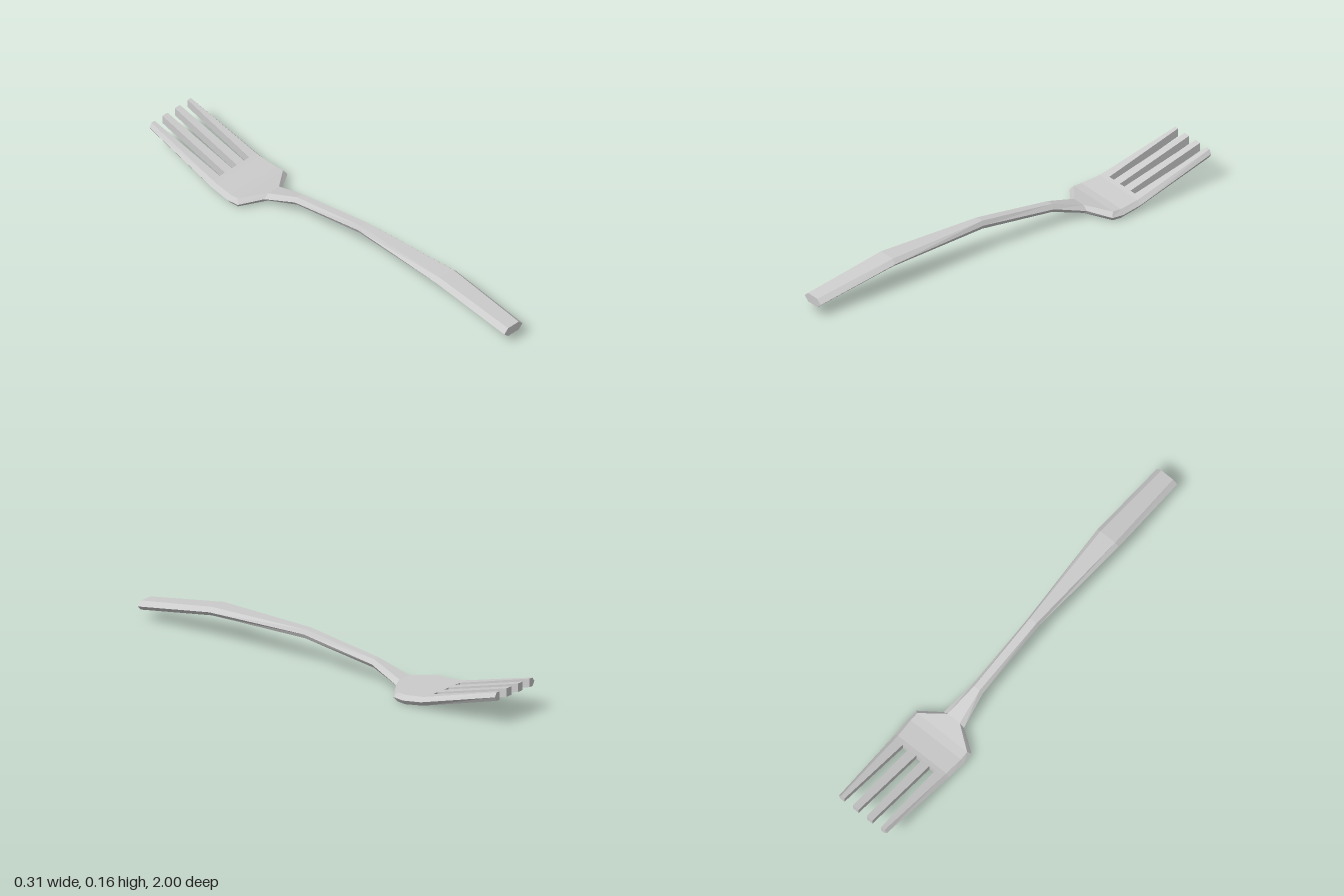
import * as THREE from 'three';

const material = new THREE.MeshStandardMaterial({ color: 0xcccccc, flatShading: true });

// Skin rings of points (counter-clockwise seen from +z) running from +z to -z
function loft(name, rings) {
  const pos = [];
  const tri = (...pts) => pts.forEach((p) => pos.push(...p));
  const n = rings[0].length;
  for (let k = 0; k < rings.length - 1; k++) {
    const a = rings[k], b = rings[k + 1];
    for (let i = 0; i < n; i++) {
      const j = (i + 1) % n;
      tri(a[i], b[i], b[j]);
      tri(a[i], b[j], a[j]);
    }
  }
  const first = rings[0], last = rings[rings.length - 1];
  for (let i = 1; i < n - 1; i++) {
    tri(first[0], first[i], first[i + 1]);
    tri(last[0], last[i + 1], last[i]);
  }
  const geometry = new THREE.BufferGeometry();
  geometry.setAttribute('position', new THREE.Float32BufferAttribute(pos, 3));
  geometry.computeVertexNormals();
  const mesh = new THREE.Mesh(geometry, material);
  mesh.name = name;
  return mesh;
}

// Six-sided section: flat top and bottom, pointed sides
function hexRing([z, bottom, top, flat, wide, zWide = z]) {
  const mid = (bottom + top) / 2;
  return [
    [-flat, bottom, z], [flat, bottom, z], [wide, mid, zWide],
    [flat, top, z], [-flat, top, z], [-wide, mid, zWide],
  ];
}

// Mirror a ring in x while keeping its winding
const mirrorRing = (ring) => ring.map(([x, y, z]) => [-x, y, z]).reverse();

export function createModel() {
  const group = new THREE.Group();
  group.name = 'fork';

  // Arched handle: z, bottom, top, half width of the flat, half width overall
  const neck = [-0.402, 0.017, 0.055, 0.033, 0.056];
  group.add(loft('handle', [
    [1, 0.044, 0.085, 0.032, 0.055],
    [0.61, 0.11, 0.148, 0.04, 0.059],
    [0.12, 0.114, 0.153, 0.018, 0.028],
    [-0.25, 0.066, 0.105, 0.015, 0.03],
    neck,
  ].map(hexRing)));

  // Wide head between neck and tines
  const root = { z: -0.63, bottom: 0.018, top: 0.057 };
  const tip = { z: -1, bottom: 0.12, top: 0.158 };
  group.add(loft('head', [
    neck,
    [-0.478, 0.002, 0.044, 0.136, 0.15, -0.466],
    [-0.52, 0, 0.042, 0.137, 0.154],
    [-0.61, 0.013, 0.052, 0.132, 0.149],
    [root.z, root.bottom, root.top, 0.131, 0.148],
  ].map(hexRing)));

  // Outer tines keep the pointed outside edge, inner tines are square
  const outer = ({ z, bottom, top }, inside, flat, wide) => [
    [inside, bottom, z], [flat, bottom, z], [wide, (bottom + top) / 2, z],
    [flat, top, z], [inside, top, z],
  ];
  const inner = ({ z, bottom, top }, x0, x1) => [
    [x0, bottom, z], [x1, bottom, z], [x1, top, z], [x0, top, z],
  ];
  const outerRings = [outer(root, 0.089, 0.131, 0.148), outer(tip, 0.1, 0.119, 0.131)];
  const innerRings = [inner(root, 0.015, 0.058), inner(tip, 0.022, 0.053)];
  group.add(
    loft('outerTineLeft', outerRings),
    loft('outerTineRight', outerRings.map(mirrorRing)),
    loft('innerTineLeft', innerRings),
    loft('innerTineRight', innerRings.map(mirrorRing)),
  );
  return group;
}
